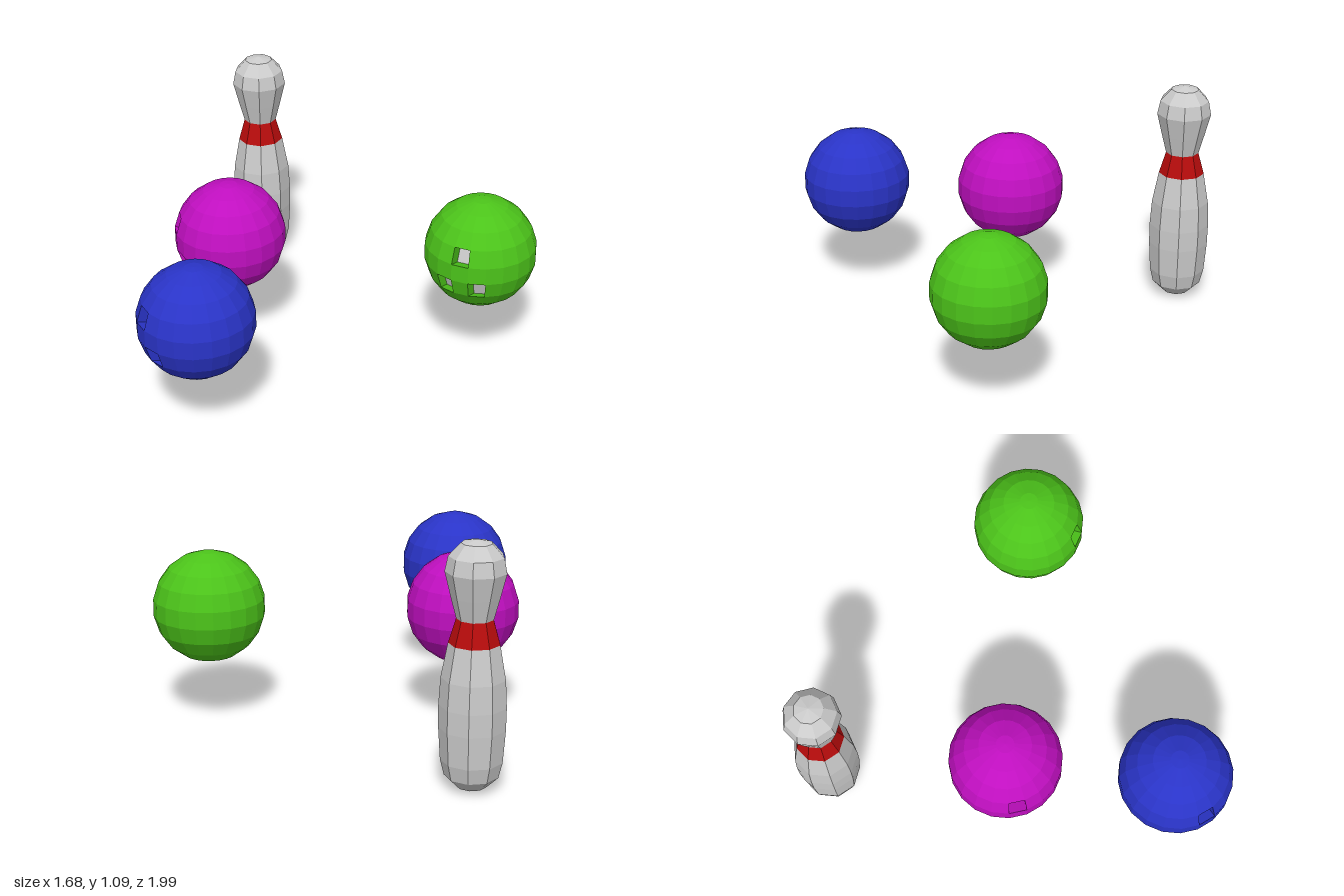
import * as THREE from 'three';

const GREY = 0xcccccc;
const STEP = Math.PI / 10; // 18 degrees: one facet of a ball
const RADIUS = 0.26;
const HOLE_DEPTH = 0.075;

function flatMesh(name, geometry, color) {
  const material = new THREE.MeshStandardMaterial({ color, flatShading: true });
  const mesh = new THREE.Mesh(geometry, material);
  mesh.name = name;
  return mesh;
}

function fromTriangles(points) {
  const geometry = new THREE.BufferGeometry().setFromPoints(points);
  geometry.computeVertexNormals();
  return geometry;
}

// Point on the ball: column 0 faces +z, row 0 straddles the equator
function ballPoint(column, row) {
  const a = column * STEP;
  const b = row * STEP;
  return new THREE.Vector3(Math.sin(a) * Math.cos(b), Math.sin(b), Math.cos(a) * Math.cos(b))
    .multiplyScalar(RADIUS);
}

// Faceted ball with three square finger holes sunk into single facets
function makeBall(name, color, turn) {
  const shell = [];
  const floors = [];
  const quad = (list, a, b, c, d) => list.push(a, b, c, a, c, d);
  const holes = [[-1, 1], [-2, -1], [0, -1]]; // [column, row]
  const inward = ballPoint(-1, 1).setLength(-HOLE_DEPTH);

  for (let col = -10; col < 10; col++) {
    const l = col - 0.5;
    const r = col + 0.5;
    for (let row = -4; row <= 4; row++) {
      const corners = [
        ballPoint(l, row - 0.5), ballPoint(r, row - 0.5),
        ballPoint(r, row + 0.5), ballPoint(l, row + 0.5),
      ];
      if (holes.some(([c, w]) => c === col && w === row)) {
        const deep = corners.map((p) => p.clone().add(inward));
        for (let i = 0; i < 4; i++) {
          const j = (i + 1) % 4;
          quad(shell, corners[i], corners[j], deep[j], deep[i]);
        }
        quad(floors, ...deep);
      } else {
        quad(shell, ...corners);
      }
    }
    // Pole caps
    shell.push(ballPoint(l, 4.5), ballPoint(r, 4.5), new THREE.Vector3(0, RADIUS, 0));
    shell.push(ballPoint(r, -4.5), ballPoint(l, -4.5), new THREE.Vector3(0, -RADIUS, 0));
  }

  const ball = new THREE.Group();
  ball.name = name;
  ball.add(flatMesh('ballShell', fromTriangles(shell), color));
  ball.add(flatMesh('fingerHoleFloors', fromTriangles(floors), GREY));
  ball.rotation.y = turn * STEP;
  return ball;
}

// Nine-sided turned section of the pin, profile given bottom to top
function pinSection(name, profile, color) {
  const points = profile.map(([r, y]) => new THREE.Vector2(r, y));
  return flatMesh(name, new THREE.LatheGeometry(points, 9, Math.PI / 2), color);
}

function makePin() {
  const pin = new THREE.Group();
  pin.name = 'pin';
  pin.add(pinSection('pinBody', [
    [0, 0], [0.065, 0.015], [0.117, 0.065], [0.134, 0.135], [0.144, 0.28],
    [0.145, 0.38], [0.138, 0.5], [0.11, 0.65],
  ], GREY));
  pin.add(pinSection('neckBand', [[0.11, 0.65], [0.079, 0.755]], 0xb80c0c));
  pin.add(pinSection('pinHead', [
    [0.079, 0.755], [0.104, 0.85], [0.13, 0.955], [0.117, 1.02], [0.066, 1.075], [0, 1.09],
  ], GREY));
  return pin;
}

export function createModel() {
  const model = new THREE.Group();
  model.name = 'bowlingSet';

  // Three balls, each turned by whole facets
  const balls = [
    ['blueBall', 0x2a34c8, -2, -0.585, 0.74],
    ['magentaBall', 0xc00fc0, -3, -0.585, -0.025],
    ['greenBall', 0x4cc41a, 0, 0.583, -0.025],
  ];
  for (const [name, color, turn, x, z] of balls) {
    const ball = makeBall(name, color, turn);
    ball.position.set(x, 0.55, z);
    model.add(ball);
  }

  const pin = makePin();
  pin.position.set(-0.587, 0, -0.858);
  model.add(pin);
  return model;
}
